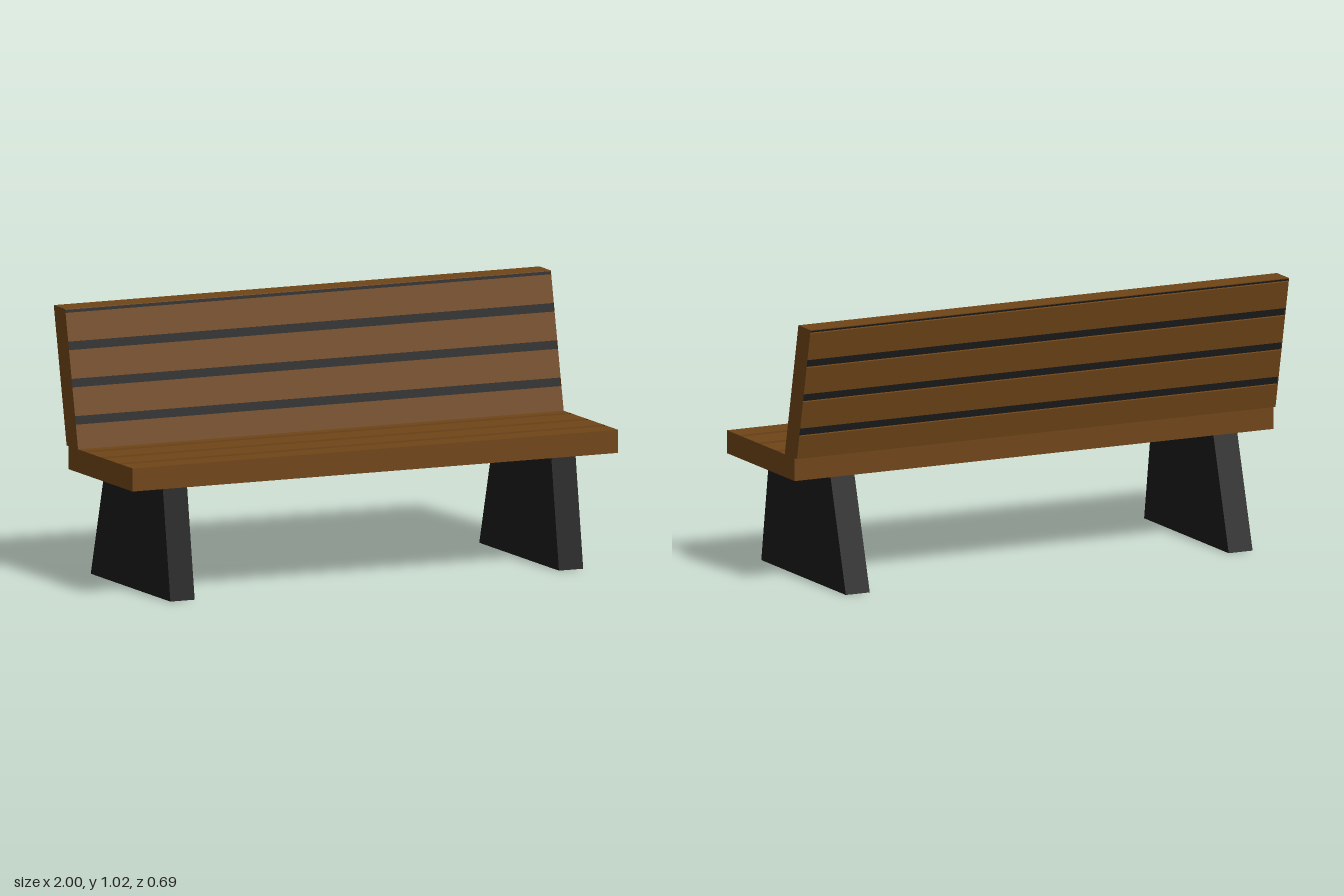
import * as THREE from 'three';

const wood = new THREE.MeshStandardMaterial({ color: 0x6f4518, side: THREE.DoubleSide });
wood.name = 'brownWood';
const iron = new THREE.MeshStandardMaterial({ color: 0x1b1b1b, side: THREE.DoubleSide });
iron.name = 'darkIron';

const GROOVE_DEPTH = 0.009;

// Flat-shaded mesh from four-cornered faces
function quadMesh(name, quads, material) {
  const positions = quads.flatMap(([a, b, c, d]) => [a, b, c, a, c, d].flat());
  const geometry = new THREE.BufferGeometry();
  geometry.setAttribute('position', new THREE.Float32BufferAttribute(positions, 3));
  geometry.computeVertexNormals();
  const mesh = new THREE.Mesh(geometry, material);
  mesh.name = name;
  return mesh;
}

// Hollow shell along x, open underneath. The corners are [z, y] in the order
// front bottom, front top, rear top, rear bottom. Each of the front, top and
// rear faces may have grooves, given as [start, end] fractions along it.
function shell(name, corners, width, material, grooves = [[], [], []]) {
  const h = width / 2;
  const outer = [], floors = [];
  const strip = (list, p, q) => list.push([
    [-h, p[1], p[0]], [h, p[1], p[0]], [h, q[1], q[0]], [-h, q[1], q[0]],
  ]);

  grooves.forEach((cuts, i) => {
    const a = new THREE.Vector2(...corners[i]);
    const b = new THREE.Vector2(...corners[i + 1]);
    const dir = b.clone().sub(a).normalize();
    const inward = new THREE.Vector2(-dir.y, dir.x).multiplyScalar(GROOVE_DEPTH);
    let from = corners[i];
    for (const [start, end] of cuts) {
      const s = a.clone().lerp(b, start), e = a.clone().lerp(b, end);
      const sIn = s.clone().add(inward).toArray(), eIn = e.clone().add(inward).toArray();
      strip(outer, from, s.toArray());
      strip(outer, s.toArray(), sIn);
      strip(floors, sIn, eIn);
      strip(outer, eIn, e.toArray());
      from = e.toArray();
    }
    strip(outer, from, corners[i + 1]);
  });

  // Plain end faces
  const end = (x) => corners.map(([z, y]) => [x, y, z]);
  outer.push(end(-h), end(h).reverse());

  const group = new THREE.Group();
  group.name = name;
  group.add(quadMesh(name + 'Shell', outer, material));
  if (floors.length) group.add(quadMesh(name + 'Gaps', floors, iron));
  return group;
}

export function createModel() {
  const bench = new THREE.Group();
  bench.name = 'bench';

  // Seat with three gaps between its slats
  const seatTop = 0.511, seatBottom = 0.424, seatFront = 0.335, seatRear = -0.217;
  const seatGaps = [0.223, 0.074, -0.075].map((z) =>
    [z + 0.0155, z - 0.0155].map((edge) => (seatFront - edge) / (seatFront - seatRear)));
  bench.add(shell('seat', [
    [seatFront, seatBottom], [seatFront, seatTop], [seatRear, seatTop], [seatRear, seatBottom],
  ], 2, wood, [[], seatGaps, []]));

  // Leaning backrest with gaps on both faces, the last just under the top edge
  const backTop = 1.023;
  const frontGaps = [[0.601, 0.632], [0.737, 0.768], [0.873, 0.904], [1.009, 1.02]].map((gap) =>
    gap.map((y) => (y - seatTop) / (backTop - seatTop)));
  const rearGaps = frontGaps.map(([start, end]) => [1 - end, 1 - start]).reverse();
  bench.add(shell('backrest', [
    [-0.136, seatTop], [-0.247, backTop], [-0.346, backTop], [-0.235, seatTop],
  ], 2, wood, [frontGaps, [], rearGaps]));

  // Tapered legs, reaching up inside the hollow seat
  for (const side of [-1, 1]) {
    const leg = shell(side > 0 ? 'leftLeg' : 'rightLeg',
      [[0.347, 0], [0.268, 0.5], [-0.194, 0.5], [-0.341, 0]], 0.1, iron);
    leg.position.x = side * 0.8;
    bench.add(leg);
  }

  return bench;
}
